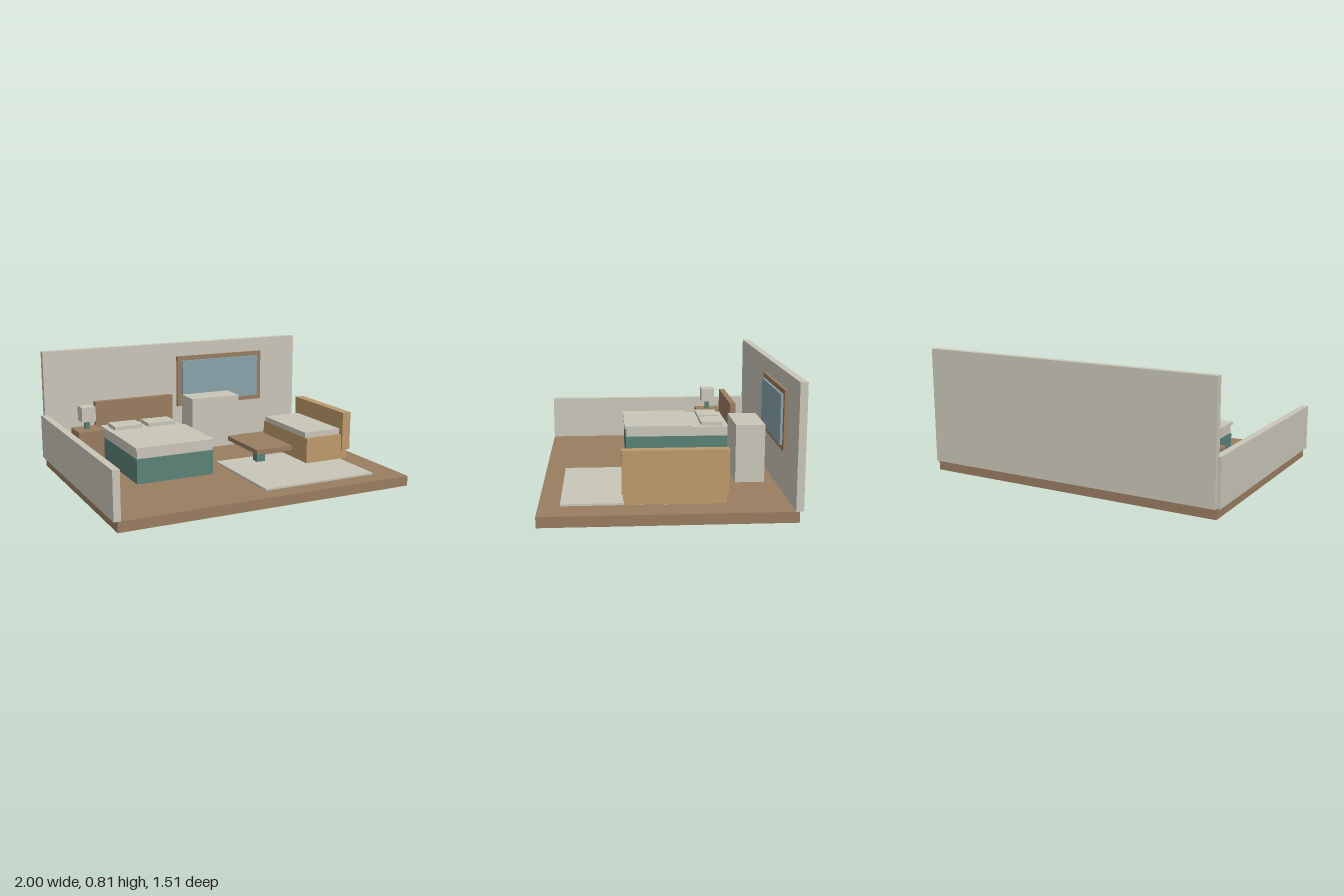
import * as THREE from 'three';

const material = (name, color) => {
  const m = new THREE.MeshStandardMaterial({ color });
  m.name = name;
  return m;
};

export function createModel() {
  const wood = material('brown wood', 0x997d60);
  const cream = material('cream', 0xc9c5b8);
  const teal = material('teal', 0x5a8177);
  const tan = material('tan', 0xbd9a6b);
  const blue = material('window blue', 0x87a3aa);

  const room = new THREE.Group();
  room.name = 'room';

  const group = (name) => {
    const g = new THREE.Group();
    g.name = name;
    room.add(g);
    return g;
  };

  // Box given by its extents along x, y and z
  const box = (parent, name, mat, [x0, x1], [y0, y1], [z0, z1]) => {
    const mesh = new THREE.Mesh(new THREE.BoxGeometry(x1 - x0, y1 - y0, z1 - z0), mat);
    mesh.position.set((x0 + x1) / 2, (y0 + y1) / 2, (z0 + z1) / 2);
    mesh.name = name;
    parent.add(mesh);
  };

  // Shell
  const shell = group('shell');
  box(shell, 'floor', wood, [-0.978, 1], [0, 0.065], [-0.733, 0.752]);
  box(shell, 'backWall', cream, [-0.978, 1], [0.065, 0.805], [-0.755, -0.71]);
  box(shell, 'lowSideWall', cream, [-1, -0.956], [0.065, 0.362], [-0.733, 0.752]);

  // Window on the back wall
  const win = group('window');
  box(win, 'windowFrame', wood, [0.01, 0.7], [0.338, 0.708], [-0.712, -0.69]);
  box(win, 'windowPane', blue, [0.046, 0.664], [0.372, 0.677], [-0.692, -0.675]);

  // Bed
  const bed = group('bed');
  box(bed, 'bedBase', teal, [-0.66, -0.14], [0.085, 0.245], [-0.49, 0.22]);
  box(bed, 'mattress', cream, [-0.655, -0.143], [0.245, 0.307], [-0.49, 0.215]);
  box(bed, 'blanket', cream, [-0.665, -0.135], [0.3, 0.318], [-0.235, 0.228]);
  box(bed, 'headboard', wood, [-0.685, -0.117], [0.177, 0.473], [-0.528, -0.49]);
  for (const x of [-0.615, -0.375])
    box(bed, 'pillow', cream, [x, x + 0.197], [0.305, 0.332], [-0.45, -0.302]);

  // Nightstand with lamp
  const stand = group('nightstand');
  box(stand, 'nightstandBody', wood, [-0.855, -0.683], [0.065, 0.312], [-0.5, -0.328]);
  box(stand, 'lampStem', teal, [-0.788, -0.757], [0.312, 0.372], [-0.427, -0.396]);
  box(stand, 'lampShade', cream, [-0.82, -0.725], [0.37, 0.468], [-0.459, -0.364]);

  // Dresser
  box(room, 'dresser', cream, [0.022, 0.392], [0.065, 0.435], [-0.64, -0.455]);

  // Rug and table
  box(room, 'rug', cream, [0.022, 0.815], [0.065, 0.077], [-0.064, 0.625]);
  const table = group('table');
  box(table, 'tableTop', wood, [0.16, 0.428], [0.185, 0.216], [-0.165, 0.255]);
  box(table, 'tableLeg', teal, [0.262, 0.322], [0.077, 0.185], [0.015, 0.075]);

  // Sofa facing the table
  const sofa = group('sofa');
  box(sofa, 'sofaBase', tan, [0.54, 0.86], [0.08, 0.25], [-0.336, 0.257]);
  box(sofa, 'seatCushion', cream, [0.54, 0.815], [0.25, 0.286], [-0.313, 0.232]);
  box(sofa, 'sofaBack', tan, [0.815, 0.876], [0.145, 0.403], [-0.348, 0.27]);

  return room;
}
